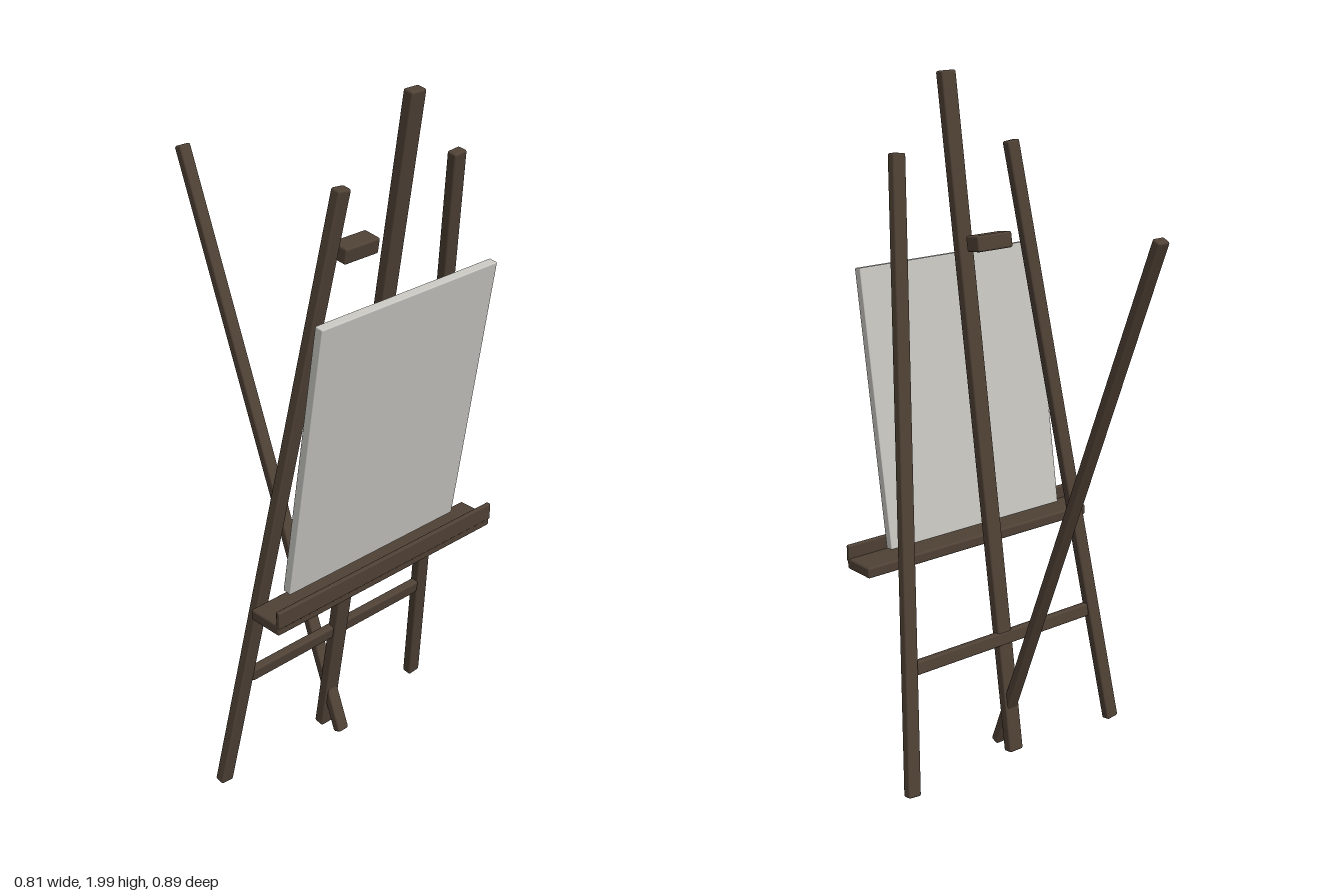
import * as THREE from 'three';
import { RoundedBoxGeometry } from 'three/addons/geometries/RoundedBoxGeometry.js';

const TILT = 0.14; // backward lean shared by the front frame

export function createModel() {
  const wood = new THREE.MeshStandardMaterial({ color: 0x4f4135 });
  wood.name = 'dark wood';
  const cloth = new THREE.MeshStandardMaterial({ color: 0xc8c7c2 });
  cloth.name = 'canvas grey';

  const easel = new THREE.Group();
  easel.name = 'easel';

  // Block with softened edges, optionally tilted about x
  function block(name, size, position, material = wood, tilt = 0, bevel = 0.006) {
    const mesh = new THREE.Mesh(new RoundedBoxGeometry(...size, 2, bevel), material);
    mesh.name = name;
    mesh.position.set(...position);
    mesh.rotation.x = tilt;
    easel.add(mesh);
    return mesh;
  }

  // Straight bar between two end centres, its front face kept square to the x axis
  function bar(name, from, to, width, depth) {
    const a = new THREE.Vector3(...from);
    const b = new THREE.Vector3(...to);
    const y = b.clone().sub(a);
    const length = y.length();
    y.normalize();
    const z = new THREE.Vector3(1, 0, 0).cross(y).normalize();
    const x = y.clone().cross(z);
    const mesh = block(name, [width, length, depth], a.add(b).multiplyScalar(0.5).toArray());
    mesh.quaternion.setFromRotationMatrix(new THREE.Matrix4().makeBasis(x, y, z));
  }

  // Legs and mast
  for (const [side, s] of [['left', 1], ['right', -1]]) {
    bar(side + 'FrontLeg', [s * 0.382, 0.009, 0.14], [s * 0.199, 1.794, 0.39], 0.042, 0.03);
  }
  bar('mast', [0, 0.022, 0.15], [0, 1.998, 0.427], 0.049, 0.032);
  bar('rearLeg', [0, 0.027, 0.222], [0, 1.653, -0.435], 0.038, 0.028);

  // Cross brace and top clamp
  block('crossBrace', [0.65, 0.04, 0.025], [0, 0.374, 0.194], wood, TILT);
  block('topClamp', [0.12, 0.045, 0.056], [0, 1.549, 0.241], wood, TILT);

  // Tray with its raised front lip
  block('tray', [0.81, 0.032, 0.106], [0, 0.654, 0.342]);
  block('trayLip', [0.81, 0.05, 0.014], [0, 0.684, 0.391], wood, 0, 0.004);

  // Canvas board
  block('canvas', [0.62, 0.8, 0.026], [0, 1.09, 0.378], cloth, TILT, 0.003);

  return easel;
}
